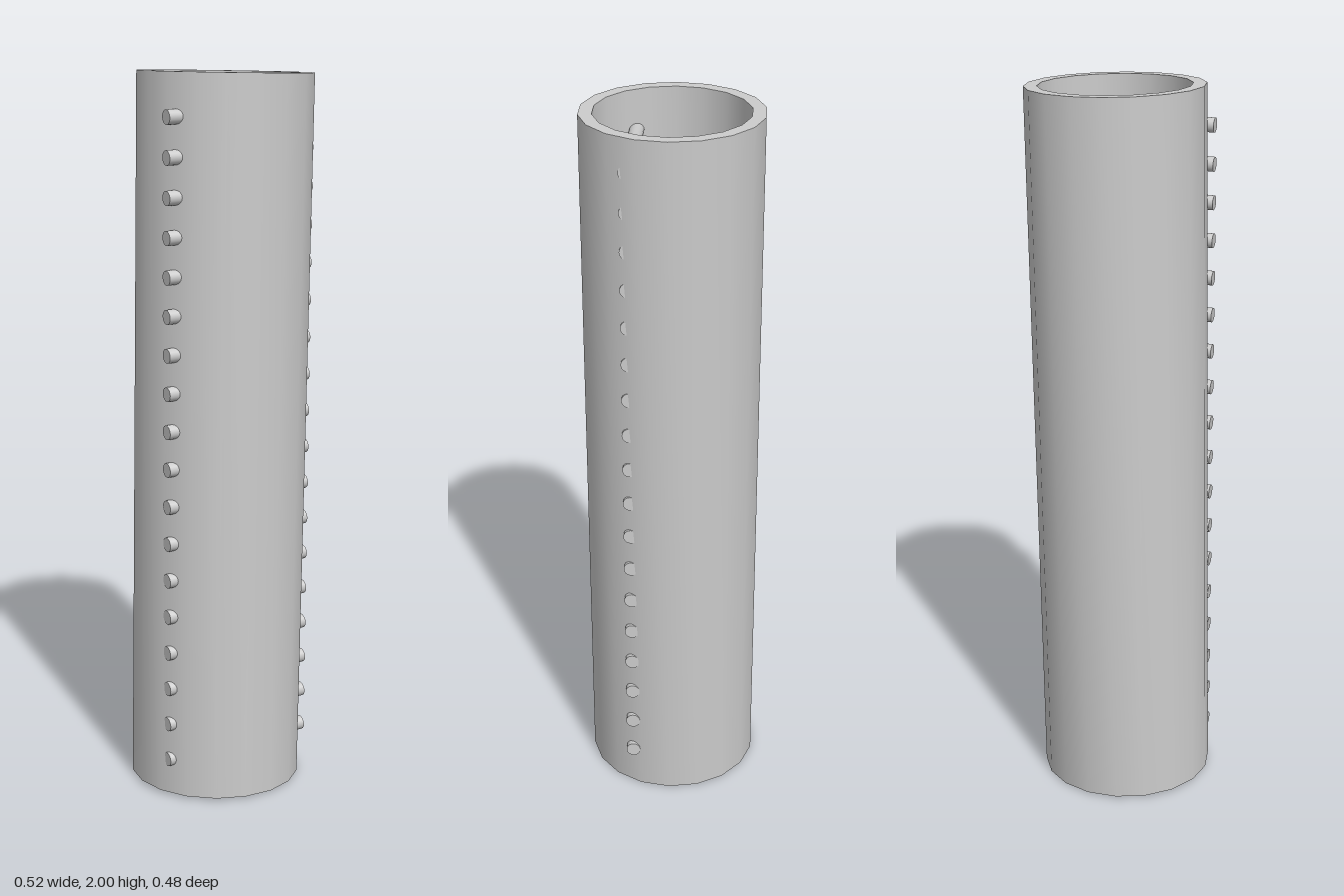
import * as THREE from 'three';
import { toCreasedNormals } from 'three/addons/utils/BufferGeometryUtils.js';

const MAT = new THREE.MeshStandardMaterial({ color: 0xcccccc });
const TILT = -0.018;
const OUTER = 0.242, INNER = 0.206, LENGTH = 1.991;

// Open pipe with a thick wall, revolved around a closed rectangular profile
function makePipe() {
  const h = LENGTH / 2;
  const profile = [[OUTER, -h], [OUTER, h], [INNER, h], [INNER, -h], [OUTER, -h]]
    .map(([r, y]) => new THREE.Vector2(r, y));
  const geometry = new THREE.LatheGeometry(profile, 18, Math.PI / 2);
  const pipe = new THREE.Mesh(toCreasedNormals(geometry, 0.6), MAT);
  pipe.name = 'pipe';
  pipe.position.y = 1;
  pipe.rotation.z = TILT;
  return pipe;
}

// Ladder of thin rods that cross the pipe and poke out through its wall
function makeRungs() {
  const rungs = new THREE.Group();
  rungs.name = 'rungs';
  const count = 18, radius = 0.02, length = 0.45;
  const geometry = new THREE.CylinderGeometry(radius, radius, length, 20);
  geometry.rotateZ(-Math.PI / 2);
  for (let i = 0; i < count; i++) {
    const t = i / (count - 1);
    const rung = new THREE.Mesh(geometry, MAT);
    rung.name = `rung${i + 1}`;
    rung.position.set(-0.012 + 0.01 * t, 0.116 + 1.775 * t, 0.105);
    rung.rotation.z = 0.033;
    rungs.add(rung);
  }
  return rungs;
}

export function createModel() {
  const model = new THREE.Group();
  model.name = 'pipeWithRungs';
  model.add(makePipe(), makeRungs());
  return model;
}
